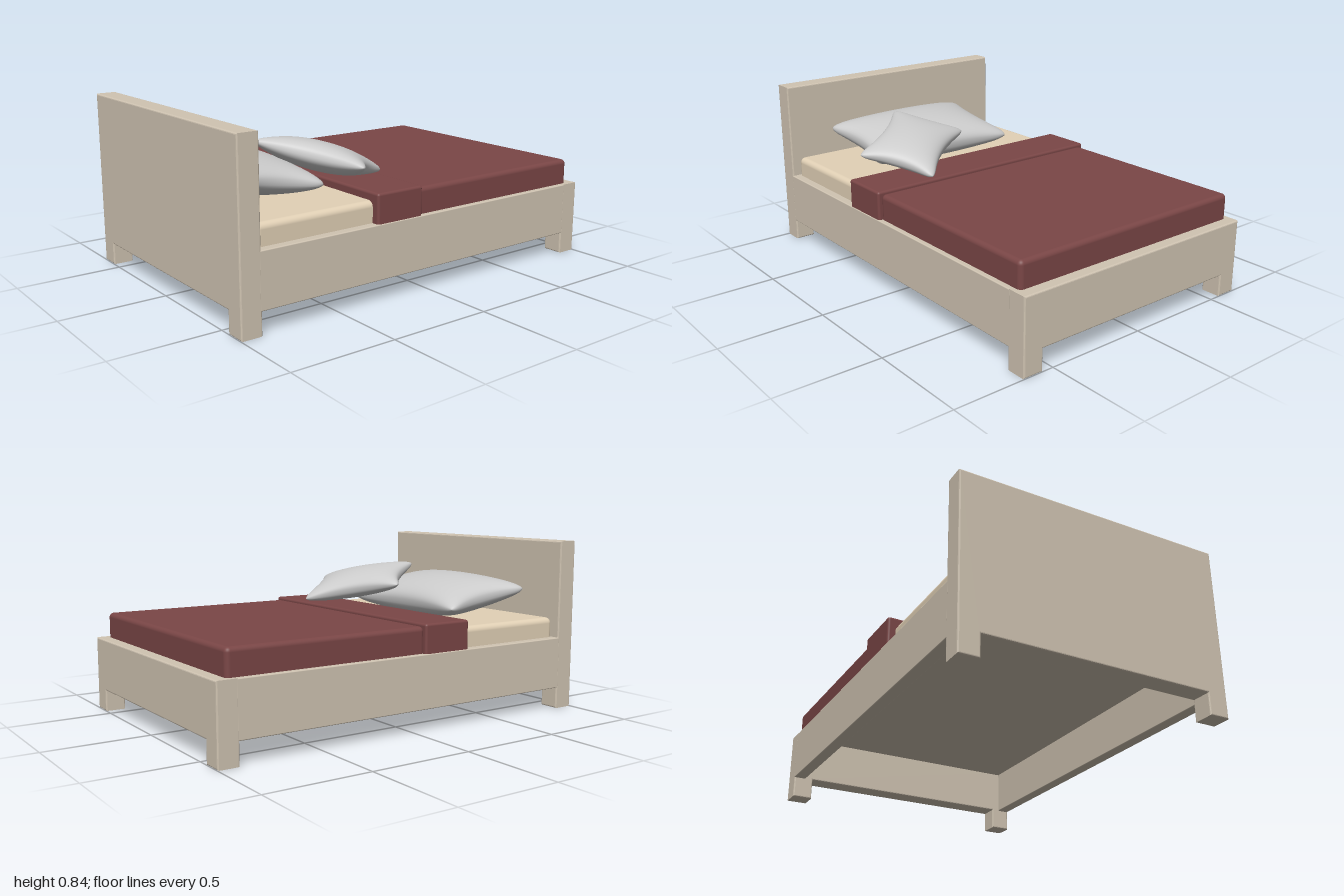
import * as THREE from 'three';
import { mergeGeometries, mergeVertices } from 'three/addons/utils/BufferGeometryUtils.js';
import { RoundedBoxGeometry } from 'three/addons/geometries/RoundedBoxGeometry.js';

const material = (color) => new THREE.MeshStandardMaterial({ color });
const HALF = 0.655;      // half the bed width
const RAIL_BOTTOM = 0.105;
const RAIL_TOP = 0.36;

// Upright end panel with two feet, softly bevelled
function endPanel(height) {
  const leg = 0.555, b = 0.007;
  const shape = new THREE.Shape([
    [-HALF, 0], [-leg, 0], [-leg, RAIL_BOTTOM], [leg, RAIL_BOTTOM],
    [leg, 0], [HALF, 0], [HALF, height], [-HALF, height],
  ].map(([x, y]) => new THREE.Vector2(x, y)));
  const geometry = new THREE.ExtrudeGeometry(shape, {
    depth: 0.1 - 2 * b, bevelThickness: b, bevelSize: b, bevelOffset: -b, bevelSegments: 3,
  });
  return geometry.translate(0, 0, b);
}

// Box given by its limits, with rounded edges
function softBox(x0, x1, y0, y1, z0, z1, radius) {
  return new RoundedBoxGeometry(x1 - x0, y1 - y0, z1 - z0, 4, radius)
    .translate((x0 + x1) / 2, (y0 + y1) / 2, (z0 + z1) / 2);
}

// Stuffed cushion: two domed sheets with inward-curving sides and blunt corners, welded at the seam
function cushion(width, depth, thickness, pinchX, pinchZ) {
  const sheet = (side) => {
    const g = new THREE.PlaneGeometry(2, 2, 40, 40).rotateX(-side * Math.PI / 2);
    const p = g.attributes.position;
    for (let i = 0; i < p.count; i++) {
      const u = Math.sin(p.getX(i) * Math.PI / 2);
      const v = Math.sin(p.getZ(i) * Math.PI / 2);
      const fu = Math.max(0, 1 - u * u), fv = Math.max(0, 1 - v * v);
      p.setXYZ(i,
        width / 2 * u * (1 - pinchX * fv - 0.06 * v ** 12),
        side * thickness / 2 * Math.pow(fu * fv, 0.4),
        depth / 2 * v * (1 - pinchZ * fu - 0.06 * u ** 12));
    }
    g.deleteAttribute('uv');
    g.deleteAttribute('normal');
    return g;
  };
  const g = mergeVertices(mergeGeometries([sheet(1), sheet(-1)]), 1e-5);
  g.computeVertexNormals();
  return g;
}

export function createModel() {
  const bed = new THREE.Group();
  bed.name = 'bed';
  const wood = material(0xd0c4b2);
  const linen = material(0xe2d1b6);
  const cloth = material(0x7a4646);
  const grey = material(0xcccccc);

  const add = (name, geometry, mat) => {
    const mesh = new THREE.Mesh(geometry, mat);
    mesh.name = name;
    bed.add(mesh);
    return mesh;
  };

  // Frame
  add('headboard', endPanel(0.84), wood).position.z = 0.9;
  add('footboard', endPanel(RAIL_TOP), wood).position.z = -1;
  for (const [name, s] of [['leftRail', 1], ['rightRail', -1]]) {
    const rail = add(name, softBox(-0.03, 0.03, RAIL_BOTTOM, RAIL_TOP, -0.91, 0.91, 0.005), wood);
    rail.position.x = s * (HALF - 0.03);
  }
  add('basePanel', new THREE.BoxGeometry(1.2, 0.03, 1.82).translate(0, 0.342, 0), wood);

  // Bedding, sunk slightly into the frame
  add('mattress', softBox(-0.615, 0.615, 0.33, 0.458, -0.92, 0.9, 0.028), linen);
  add('blanket', softBox(-0.632, 0.632, 0.335, 0.483, -0.945, 0.06, 0.022), cloth);
  add('blanketFold', softBox(-0.652, 0.652, 0.335, 0.497, 0.05, 0.305, 0.012), cloth);

  // Cushions
  const large = add('largePillow', cushion(0.86, 0.52, 0.205, 0.13, 0.12), grey);
  large.position.set(0, 0.547, 0.655);
  large.rotation.x = -0.16;

  const small = add('smallPillow', cushion(0.54, 0.395, 0.14, 0.15, 0.19), grey);
  small.position.set(0.26, 0.602, 0.335);
  small.rotation.set(-0.295, 0.67, 0);

  return bed;
}
